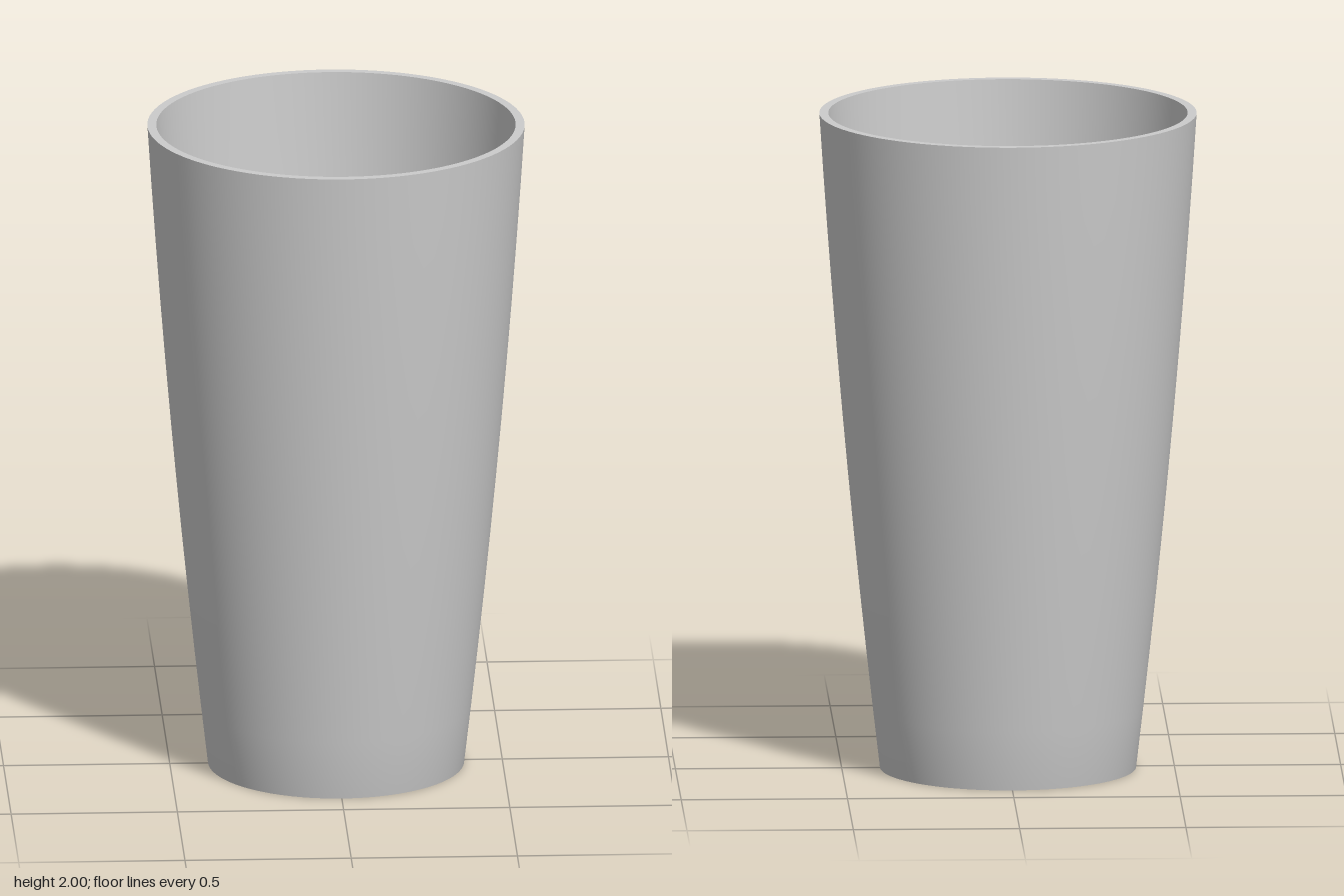
import * as THREE from 'three';

const SEGMENTS = 96;
const WALL = 0.027;
const FLOOR = 0.08;
const LIQUID_LEVEL = 1.01;

// Gently bowed taper of the outer wall
const outerRadius = (y) => 0.385 + 0.119 * y - 0.014 * y * y;
const innerRadius = (y) => outerRadius(y) - WALL;

// Wall profile points from height y0 to y1
function wall(radiusAt, y0, y1, steps) {
  const points = [];
  for (let i = 0; i <= steps; i++) {
    const y = y0 + ((y1 - y0) * i) / steps;
    points.push(new THREE.Vector2(radiusAt(y), y));
  }
  return points;
}

function lathe(name, points, material) {
  const mesh = new THREE.Mesh(new THREE.LatheGeometry(points, SEGMENTS), material);
  mesh.name = name;
  return mesh;
}

export function createModel() {
  const group = new THREE.Group();
  group.name = 'tumbler';
  const material = new THREE.MeshStandardMaterial({ color: 0xcccccc, side: THREE.DoubleSide });

  // Outer shell with a slightly recessed base
  group.add(lathe('outerShell', [
    new THREE.Vector2(0, 0.01),
    new THREE.Vector2(0.36, 0.01),
    new THREE.Vector2(0.372, 0),
    ...wall(outerRadius, 0, 2, 11),
  ], material));

  // Flat lip
  group.add(lathe('rim', [
    new THREE.Vector2(outerRadius(2), 2),
    new THREE.Vector2(innerRadius(2), 2),
  ], material));

  // Inner wall, running from the lip down to the floor
  group.add(lathe('innerWall', wall(innerRadius, 2, FLOOR, 11), material));
  group.add(lathe('innerFloor', [
    new THREE.Vector2(innerRadius(FLOOR), FLOOR),
    new THREE.Vector2(0, FLOOR),
  ], material));

  // Flat surface of the contents, filling the glass halfway
  const liquid = new THREE.Mesh(
    new THREE.CircleGeometry(innerRadius(LIQUID_LEVEL), SEGMENTS), material);
  liquid.name = 'liquidSurface';
  liquid.rotation.x = -Math.PI / 2;
  liquid.position.y = LIQUID_LEVEL;
  group.add(liquid);

  return group;
}
